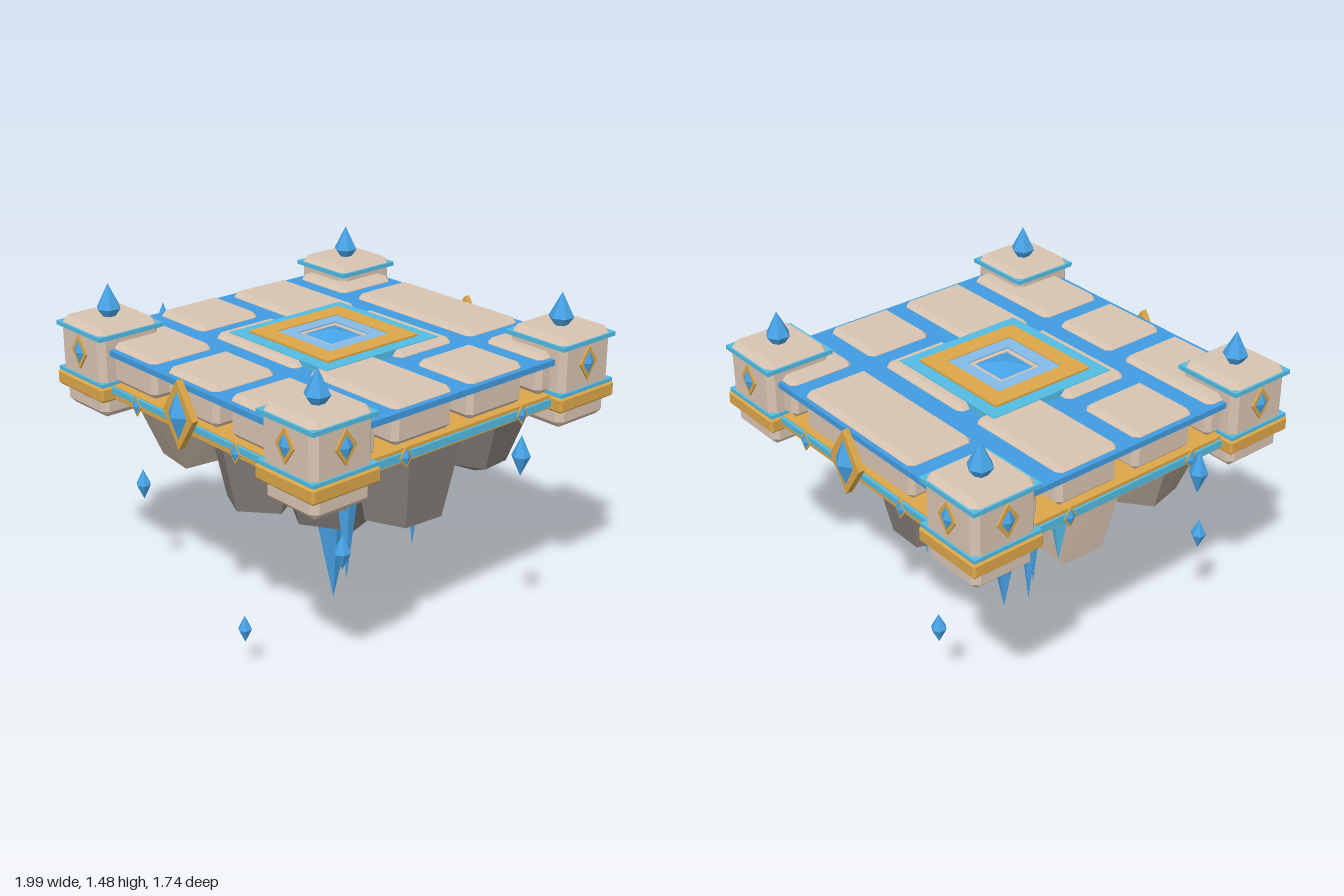
import * as THREE from 'three';
import { ConvexGeometry } from 'three/addons/geometries/ConvexGeometry.js';

const mat = (name, color) => {
  const m = new THREE.MeshStandardMaterial({ color, flatShading: true });
  m.name = name;
  return m;
};

export function createModel() {
  const root = new THREE.Group();
  root.name = 'floatingPlatform';
  const stone = mat('paleStone', 0xd8c3b1);
  const gold = mat('gold', 0xdba648);
  const blue = mat('deckBlue', 0x409be0);
  const teal = mat('tealTrim', 0x52bbe2);
  const crystal = mat('crystalBlue', 0x47a4e8);
  const paleBlue = mat('paleBlue', 0x8ec8f8);
  const rockBrown = mat('brownRock', 0xa89a8b);
  const rockGrey = mat('greyRock', 0x87807a);
  const rockDark = mat('darkRock', 0x756f6b);

  const add = (name, geo, material, x = 0, y = 0, z = 0, parent = root) => {
    const m = new THREE.Mesh(geo, material);
    m.name = name;
    m.position.set(x, y, z);
    parent.add(m);
    return m;
  };
  const slab = (name, half, y0, y1, material, parent = root) =>
    add(name, new THREE.BoxGeometry(half * 2, y1 - y0, half * 2), material, 0, (y0 + y1) / 2, 0, parent);

  // Box with all edges cut at 45 degrees
  const chamferBox = (w, h, d, c) => {
    const pts = [];
    for (const sx of [-1, 1]) for (const sy of [-1, 1]) for (const sz of [-1, 1])
      for (let k = 0; k < 3; k++) {
        const p = [w / 2 - c, h / 2 - c, d / 2 - c];
        p[k] += c;
        pts.push(new THREE.Vector3(sx * p[0], sy * p[1], sz * p[2]));
      }
    return new ConvexGeometry(pts);
  };

  // Crystal pointed at both ends (or cut off below), waist at y = 0
  const bipyramid = (r, up, down, sides = 6, rBottom = 0) => {
    const pts = [new THREE.Vector3(0, up, 0)];
    for (let i = 0; i < sides; i++) {
      const a = (i / sides) * Math.PI * 2 + Math.PI / 6;
      const c = Math.cos(a), s = Math.sin(a);
      pts.push(new THREE.Vector3(c * r, 0, s * r));
      if (rBottom) pts.push(new THREE.Vector3(c * rBottom, -down, s * rBottom));
    }
    if (!rBottom) pts.push(new THREE.Vector3(0, -down, 0));
    return new ConvexGeometry(pts);
  };

  // Gold base with teal edge stripes, and the deck above it
  slab('goldBase', 0.785, 1.03, 1.09, gold);
  for (const s of [-1, 1]) {
    add('frontStripe', new THREE.BoxGeometry(1.58, 0.026, 0.018), teal, 0, 1.073, s * 0.79);
    add('sideStripe', new THREE.BoxGeometry(0.018, 0.034, 1.58), teal, s * 0.786, 1.058, 0);
  }
  slab('deckPlate', 0.79, 1.22, 1.246, blue);

  // Paving blocks: z range, then x ranges for each row
  const rows = [
    [-0.77, -0.46, [[-0.765, -0.45], [-0.365, 0.365], [0.45, 0.765]]],
    [-0.365, -0.05, [[-0.765, -0.25], [-0.16, 0.36], [0.45, 0.765]]],
    [0.04, 0.36, [[-0.765, -0.45], [-0.365, 0.165], [0.25, 0.765]]],
    [0.45, 0.765, [[-0.765, -0.25], [-0.16, 0.165], [0.25, 0.765]]],
  ];
  for (const [z0, z1, xs] of rows) for (const [x0, x1] of xs)
    add('pavingBlock', chamferBox(x1 - x0, 0.18, z1 - z0, 0.022), stone, (x0 + x1) / 2, 1.18, (z0 + z1) / 2);

  // Square inlay rings and centre gem
  const ring = (name, outer, inner, y1, material) => {
    const path = (P, h) => new P([[-h, -h], [h, -h], [h, h], [-h, h]].map(p => new THREE.Vector2(...p)));
    const s = path(THREE.Shape, outer);
    s.holes.push(path(THREE.Path, inner));
    const g = new THREE.ExtrudeGeometry(s, { depth: y1 - 1.24, bevelEnabled: false });
    g.rotateX(-Math.PI / 2);
    add(name, g, material, 0, 1.24, 0);
  };
  ring('inlayTealRing', 0.315, 0.25, 1.273, teal);
  ring('inlayGoldRing', 0.255, 0.17, 1.282, gold);
  ring('inlayPaleRing', 0.175, 0.108, 1.278, paleBlue);
  ring('inlayStoneRing', 0.109, 0.09, 1.272, stone);
  const gem = new THREE.ConeGeometry(0.093 * Math.SQRT2, 0.028, 4);
  gem.rotateY(Math.PI / 4);
  add('inlayGem', gem, crystal, 0, 1.282, 0);

  // Diamond ornament facing +z: gold plate and faceted gem
  const ornament = (name, w, h, depth, gemW, gemH, gemD, x, y, z, ry) => {
    const g = new THREE.Group();
    g.name = name;
    const s = new THREE.Shape([[0, -h], [w, 0], [0, h], [-w, 0]].map(p => new THREE.Vector2(...p)));
    add('goldDiamond', new THREE.ExtrudeGeometry(s, { depth, bevelEnabled: false }), gold, 0, 0, 0, g);
    add('diamondGem', new THREE.OctahedronGeometry(1).scale(gemW, gemH, gemD), crystal, 0, 0, depth, g);
    g.position.set(x, y, z);
    g.rotation.y = ry;
    root.add(g);
  };
  const edgeGem = ['edgeGem', 0.034, 0.046, 0.006, 0.027, 0.037, 0.012];
  const towerGem = ['towerDiamond', 0.053, 0.075, 0.008, 0.034, 0.051, 0.016];
  for (const s of [-1, 1]) {
    const facing = s > 0 ? 0 : Math.PI, side = s * Math.PI / 2;
    ornament('largeDiamond', 0.1, 0.15, 0.03, 0.06, 0.105, 0.038, 0, 1.12, s * 0.8, facing);
    for (const t of [-1, 1]) {
      ornament(...edgeGem, t * 0.33, 1.055, s * 0.796, facing);
      ornament(...edgeGem, s * 0.793, 1.055, t * 0.33, side);
      ornament(...towerGem, t * 0.68, 1.21, s * 0.835, facing);
      ornament(...towerGem, s * 0.835, 1.21, t * 0.68, side);
    }
  }

  // Corner towers
  for (const sx of [-1, 1]) for (const sz of [-1, 1]) {
    const t = new THREE.Group();
    t.name = 'cornerTower';
    t.position.set(sx * 0.68, 0, sz * 0.68);
    root.add(t);
    add('towerBody', chamferBox(0.31, 0.3, 0.31, 0.028), stone, 0, 1.188, 0, t);
    add('towerFoot', chamferBox(0.295, 0.13, 0.295, 0.028), stone, 0, 1.003, 0, t);
    add('towerGoldBand', chamferBox(0.342, 0.068, 0.342, 0.01), gold, 0, 1.056, 0, t);
    slab('towerLowerTrim', 0.163, 1.088, 1.104, teal, t);
    slab('towerUpperTrim', 0.163, 1.292, 1.311, teal, t);
    add('towerCrystal', bipyramid(0.055, 0.108, 0.035, 6, 0.03), crystal, 0, 1.373, 0, t);
  }

  // Hanging rocks: x, z, top radius, bottom radius, shoulder y, tip y, turn
  const rocks = [
    [0, 0, 0.33, 0.21, 0.43, 0.385, 0.3, rockDark],
    [0, 0.41, 0.26, 0.16, 0.62, 0.57, 1.35, rockGrey],
    [0, -0.41, 0.26, 0.16, 0.62, 0.56, 0.4, rockGrey],
    [0.43, 0, 0.26, 0.17, 0.59, 0.54, 0.63, rockGrey],
    [-0.42, 0, 0.26, 0.16, 0.6, 0.54, 0.2, stone],
    [-0.44, 0.42, 0.28, 0.14, 0.69, 0.64, 1.0, rockBrown],
    [0.41, 0.42, 0.27, 0.13, 0.76, 0.715, 1.2, rockBrown],
    [0.45, -0.43, 0.27, 0.14, 0.72, 0.66, 0.5, rockGrey],
    [-0.44, -0.43, 0.27, 0.14, 0.72, 0.66, 0.1, rockBrown],
  ];
  rocks.forEach(([x, z, rt, rb, y, tip, turn, material], n) => {
    const pts = [new THREE.Vector3(0, tip, 0)];
    for (let i = 0; i < 5; i++) {
      const a = (i / 5) * Math.PI * 2 + turn;
      const k = 1 + 0.05 * Math.sin(i * 3.7 + n * 2.1);
      const c = Math.cos(a) * k, s = Math.sin(a) * k;
      pts.push(new THREE.Vector3(c * rt, 1.035, s * rt));
      pts.push(new THREE.Vector3(c * rb, y + 0.012 * Math.sin(i * 2.3 + n), s * rb));
    }
    add('hangingRock', new ConvexGeometry(pts), material, x, 0, z);
  });

  // Hanging crystal spikes: x, z, radius, top y, tip y
  const spikes = [
    [0, 0, 0.095, 0.46, 0.005, crystal],
    [0.3, 0.19, 0.065, 0.82, 0.28, crystal],
    [0.25, -0.25, 0.065, 0.82, 0.28, crystal],
    [-0.26, -0.05, 0.055, 0.8, 0.31, crystal],
    [-0.38, -0.18, 0.05, 0.78, 0.35, crystal],
    [-0.2, 0.22, 0.055, 0.88, 0.48, crystal],
    [0.25, 0.25, 0.075, 0.96, 0.6, teal],
    [0.46, -0.2, 0.055, 0.88, 0.56, teal],
    [-0.59, -0.2, 0.05, 0.93, 0.68, teal],
  ];
  for (const [x, z, r, top, tip, material] of spikes)
    add('crystalSpike', bipyramid(r, 0.12, top - tip, 5), material, x, top, z);

  // Loose floating crystals: x, y, z, radius, half height
  const floaters = [
    [-0.96, 1.125, 0.2, 0.04, 0.098],
    [0.96, 0.977, -0.15, 0.04, 0.088],
    [-0.66, 0.515, 0.56, 0.035, 0.073],
    [-0.305, 0.362, -0.61, 0.035, 0.071],
    [0.25, 0.21, 0.71, 0.03, 0.062],
    [0.63, 0.642, 0.51, 0.037, 0.076],
  ];
  for (const [x, y, z, r, h] of floaters)
    add('floatingCrystal', bipyramid(r, h, h), crystal, x, y, z);

  return root;
}
